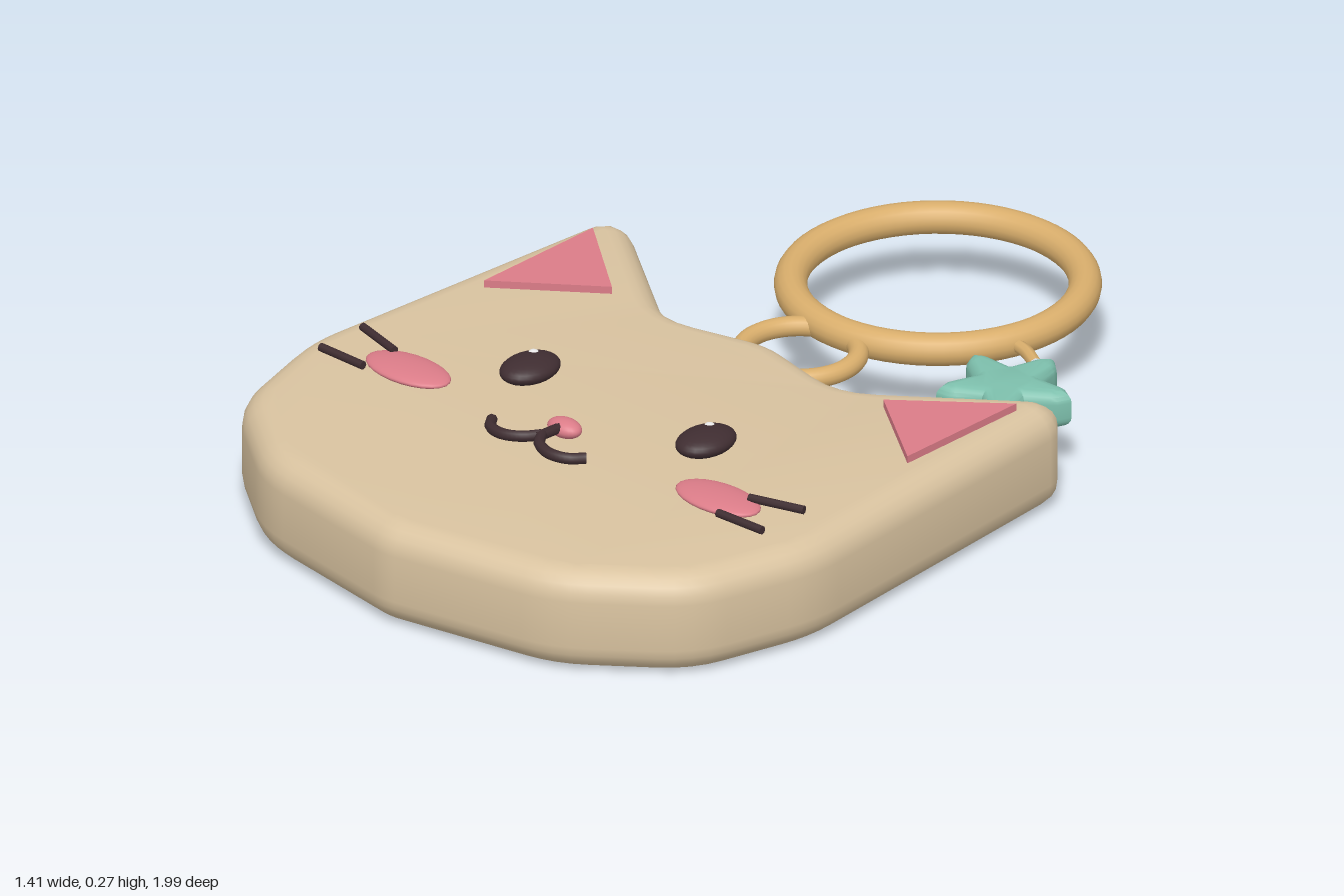
import * as THREE from 'three';
import { toCreasedNormals } from 'three/addons/utils/BufferGeometryUtils.js';

const mat = (name, color, extra) => Object.assign(new THREE.MeshStandardMaterial({ color }), { name });
const V2 = (x, z) => new THREE.Vector2(x, -z);

// Closed outline with each corner softened; corners are [x, z, trim]
function softShape(corners) {
  const shape = new THREE.Shape();
  const n = corners.length;
  corners.forEach(([x, z, trim], i) => {
    const p = V2(x, z);
    const toward = (q) => V2(q[0], q[1]).sub(p).setLength(trim).add(p);
    const a = toward(corners[(i + n - 1) % n]);
    const b = toward(corners[(i + 1) % n]);
    if (i === 0) shape.moveTo(a.x, a.y); else shape.lineTo(a.x, a.y);
    shape.quadraticCurveTo(p.x, p.y, b.x, b.y);
  });
  shape.closePath();
  return shape;
}

// Flat-lying slab of a shape, from y0 to y1, with a round edge
function slab(shape, y0, y1, bevel) {
  const geo = new THREE.ExtrudeGeometry(shape, {
    depth: y1 - y0 - 2 * bevel, curveSegments: 4, bevelEnabled: bevel > 0,
    bevelThickness: bevel, bevelSize: bevel, bevelSegments: 5,
  });
  geo.rotateX(-Math.PI / 2).translate(0, y0 + bevel, 0);
  return bevel > 0 ? toCreasedNormals(geo, 0.6) : geo;
}

export function createModel() {
  const group = new THREE.Group();
  group.name = 'catKeychain';
  const beige = mat('beige', 0xd9c3a0);
  const gold = mat('gold', 0xd9ae6c);
  const pink = mat('pink', 0xdb7c88);
  const dark = mat('darkBrown', 0x3f2d31);
  const teal = mat('teal', 0x7dbfac);
  const white = mat('white', 0xffffff);

  const add = (name, geo, material, x = 0, y = 0, z = 0) => {
    const mesh = new THREE.Mesh(geo, material);
    mesh.name = name;
    mesh.position.set(x, y, z);
    group.add(mesh);
    return mesh;
  };
  const blob = (name, material, pos, radii) =>
    add(name, new THREE.SphereGeometry(1, 24, 16), material, ...pos).scale.set(...radii);
  const tube = (name, points, radius, material) => {
    const curve = new THREE.CatmullRomCurve3(points.map((p) => new THREE.Vector3(...p)));
    add(name, new THREE.TubeGeometry(curve, 20, radius, 8), material);
  };
  const rod = (name, a, b, radius, material) => {
    const from = new THREE.Vector3(...a), to = new THREE.Vector3(...b);
    const dir = to.clone().sub(from);
    const mesh = add(name, new THREE.CylinderGeometry(radius, radius, dir.length(), 8), material);
    mesh.position.copy(from).lerp(to, 0.5);
    mesh.quaternion.setFromUnitVectors(new THREE.Vector3(0, 1, 0), dir.normalize());
  };

  // Cat head: half the outline, mirrored
  const half = [
    [0.375, 0.863, 0.06], [0.58, 0.705, 0.06], [0.65, 0.453, 0.06],
    [0.588, -0.31, 0.015], [0.255, -0.058, 0.1],
  ];
  const outline = [
    [0, 0.93, 0.02], ...half, [0, -0.12, 0.04],
    ...half.map(([x, z, t]) => [-x, z, t]).reverse(),
  ];
  add('head', slab(softShape(outline), 0, 0.222, 0.06), beige);

  // Face details on both sides
  for (const [side, s] of [['left', 1], ['right', -1]]) {
    const ear = new THREE.Shape([V2(s * 0.585, -0.27), V2(s * 0.375, -0.1), V2(s * 0.585, 0.055)]);
    add(side + 'InnerEar', slab(ear, 0.215, 0.238, 0), pink);
    blob(side + 'Eye', dark, [s * 0.243, 0.242, 0.287], [0.053, 0.026, 0.072]);
    blob(side + 'EyeHighlight', white, [s * 0.243 - 0.014, 0.262, 0.261], [0.011, 0.007, 0.011]);
    blob(side + 'Cheek', pink, [s * 0.428, 0.235, 0.45], [0.106, 0.015, 0.057]);
    rod(side + 'UpperWhisker', [s * 0.49, 0.248, 0.425], [s * 0.61, 0.248, 0.39], 0.009, dark);
    rod(side + 'LowerWhisker', [s * 0.49, 0.248, 0.518], [s * 0.61, 0.248, 0.515], 0.009, dark);
    tube(side + 'Mouth', [
      [0, 0.257, 0.515], [s * 0.025, 0.257, 0.548], [s * 0.065, 0.255, 0.563],
      [s * 0.105, 0.253, 0.553], [s * 0.13, 0.251, 0.523],
    ], 0.012, dark);
  }
  blob('nose', pink, [0, 0.248, 0.446], [0.041, 0.02, 0.028]);
  rod('mouthLine', [0, 0.253, 0.46], [0, 0.257, 0.53], 0.011, dark);

  // Key ring and connecting loop
  const ring = (name, R, r, y, z) =>
    add(name, new THREE.TorusGeometry(R, r, 16, 64).rotateX(Math.PI / 2), gold, 0, y, z);
  ring('keyRing', 0.299, 0.034, 0.165, -0.668);
  ring('connectorRing', 0.12, 0.021, 0.16, -0.255);
  tube('charmLink', [[0.29, 0.165, -0.575], [0.34, 0.165, -0.563], [0.39, 0.162, -0.538]], 0.014, gold);

  // Star charm
  const star = [];
  for (let i = 0; i < 10; i++) {
    const a = (i * Math.PI) / 5, r = i % 2 ? 0.042 : 0.121;
    star.push([r * Math.sin(a), -r * Math.cos(a), 0.018]);
  }
  add('starCharm', slab(softShape(star), 0.107, 0.19, 0.025), teal, 0.428, 0, -0.41);

  return group;
}
